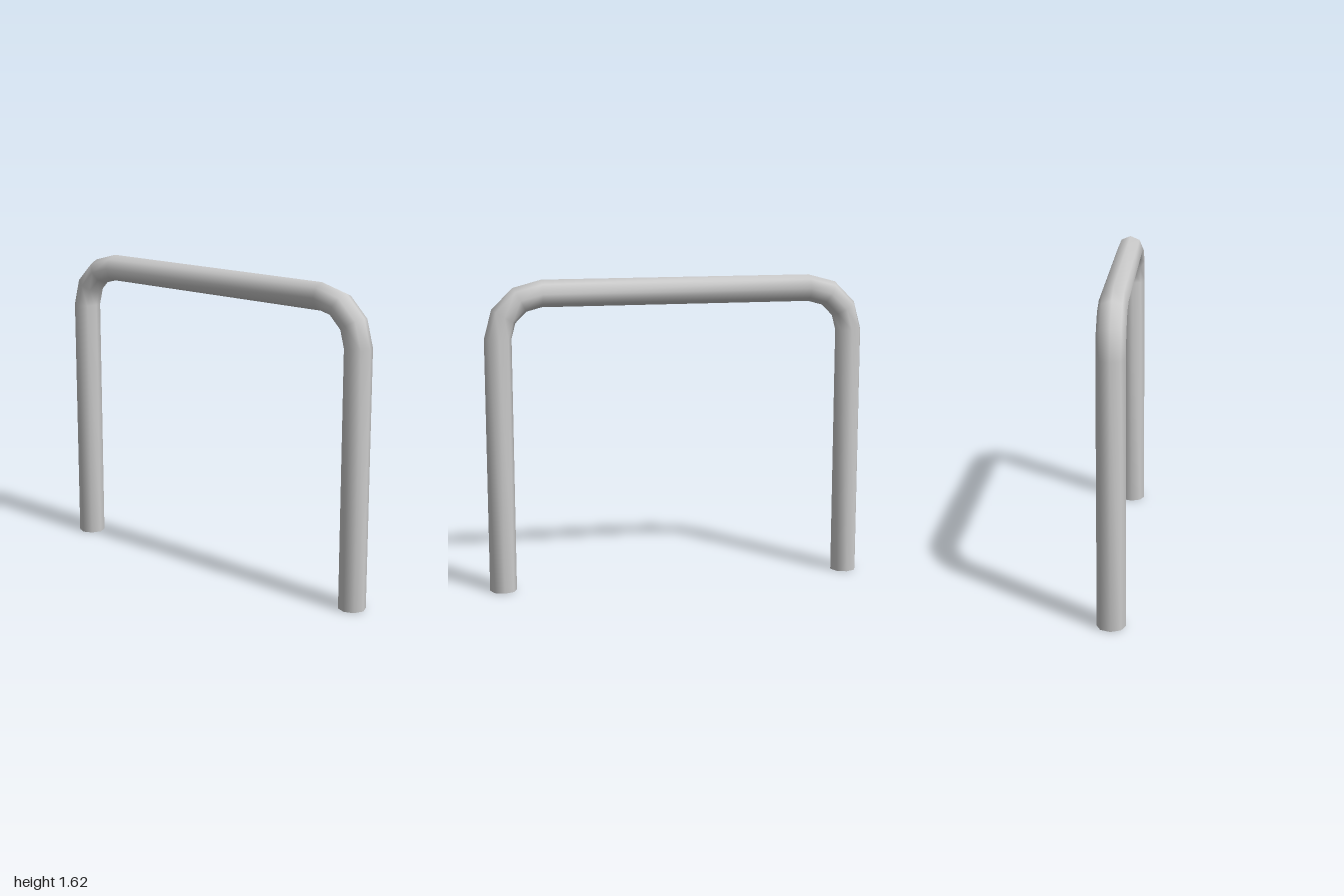
import * as THREE from 'three';

const RADIUS = 0.07, SIDES = 8;
const BEND = 0.225, BEND_X = 0.705, BEND_Y = 1.32, BEND_STEPS = 3;

// Stations along the pipe: centre point and outward direction in the XY plane
function pipeStations() {
  const stations = [];
  const add = (cx, cy, angle) => {
    const ox = -Math.cos(angle), oy = Math.sin(angle);
    stations.push({ x: cx + BEND * ox, y: cy + BEND * oy, ox, oy });
  };
  add(-BEND_X, 0, 0);
  for (const side of [0, 1]) {
    for (let i = 0; i <= BEND_STEPS; i++) {
      add(side ? BEND_X : -BEND_X, BEND_Y, (side + i / BEND_STEPS) * Math.PI / 2);
    }
  }
  add(BEND_X, 0, Math.PI);
  return stations;
}

// Skin of shared rings, open at both ends
function pipeGeometry(stations) {
  const positions = [], index = [];
  stations.forEach(({ x, y, ox, oy }, i) => {
    for (let j = 0; j < SIDES; j++) {
      const t = (j / SIDES) * Math.PI * 2;
      const out = RADIUS * Math.cos(t);
      positions.push(x + out * ox, y + out * oy, RADIUS * Math.sin(t));
      if (i === stations.length - 1) continue;
      const a = i * SIDES + j, b = i * SIDES + (j + 1) % SIDES;
      index.push(a, b, a + SIDES, b, b + SIDES, a + SIDES);
    }
  });
  const geometry = new THREE.BufferGeometry();
  geometry.setAttribute('position', new THREE.Float32BufferAttribute(positions, 3));
  geometry.setIndex(index);
  geometry.computeVertexNormals();
  return geometry;
}

export function createModel() {
  const group = new THREE.Group();
  group.name = 'pipeHoop';
  const material = new THREE.MeshStandardMaterial({ color: 0xcccccc, side: THREE.DoubleSide });
  const pipe = new THREE.Mesh(pipeGeometry(pipeStations()), material);
  pipe.name = 'bentPipe';
  group.add(pipe);
  return group;
}
